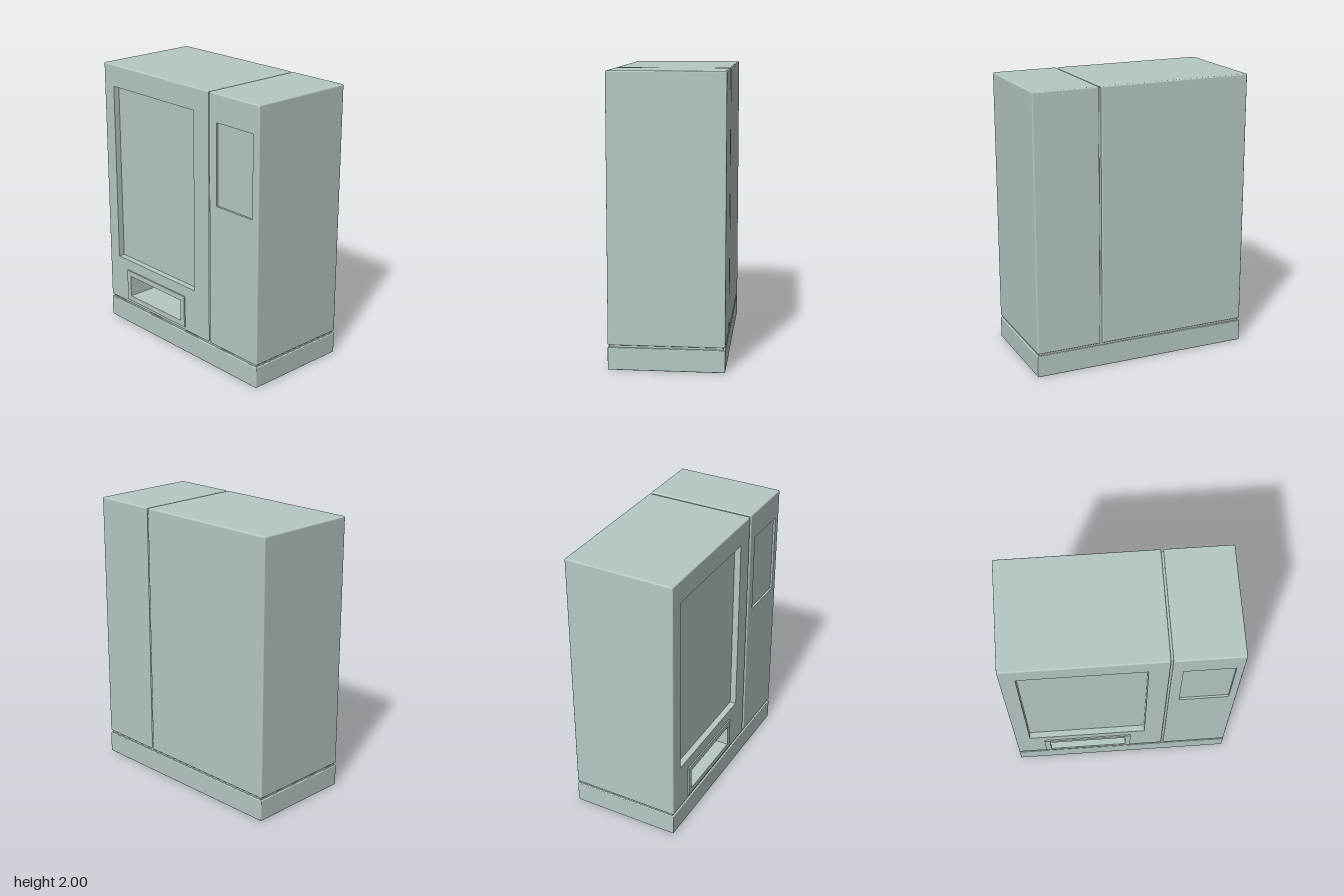
import * as THREE from 'three';
import { RoundedBoxGeometry } from 'three/addons/geometries/RoundedBoxGeometry.js';

const BACK = -0.4, FRONT = 0.39, R = 0.01;
const paint = new THREE.MeshStandardMaterial({ color: 0xb6c8c6 });
paint.name = 'pale grey green';

function add(parent, name, geometry) {
  const mesh = new THREE.Mesh(geometry, paint);
  mesh.name = name;
  parent.add(mesh);
  return mesh;
}

// Rectangles are given as [x0, x1, y0, y1]
function rectPath([x0, x1, y0, y1], Type = THREE.Path) {
  const p = new Type();
  p.moveTo(x0, y0).lineTo(x1, y0).lineTo(x1, y1).lineTo(x0, y1).closePath();
  return p;
}

// Box from two corners, optionally with softened edges
function box(x0, x1, y0, y1, z0, z1, r = 0) {
  const size = [x1 - x0, y1 - y0, z1 - z0];
  const g = r ? new RoundedBoxGeometry(...size, 3, r) : new THREE.BoxGeometry(...size);
  return g.translate((x0 + x1) / 2, (y0 + y1) / 2, (z0 + z1) / 2);
}

// Rounded outer skin, lofted from back to front
function shell([x0, x1, y0, y1]) {
  const centres = [[x1 - R, y1 - R], [x0 + R, y1 - R], [x0 + R, y0 + R], [x1 - R, y0 + R]];
  const n = 4, pos = [], nor = [], idx = [];
  for (let k = 0; k <= 2 * n + 1; k++) {
    const front = k > n;
    const a = ((front ? k - n - 1 : k - n) / n) * Math.PI / 2;
    const z = (front ? FRONT - R : BACK + R) + R * Math.sin(a);
    for (let c = 0; c < 4; c++) for (let s = 0; s <= n; s++) {
      const t = (c + s / n) * Math.PI / 2;
      const u = Math.cos(t) * Math.cos(a), v = Math.sin(t) * Math.cos(a);
      pos.push(centres[c][0] + R * u, centres[c][1] + R * v, z);
      nor.push(u, v, Math.sin(a));
    }
  }
  const m = 4 * (n + 1);
  for (let k = 0; k <= 2 * n; k++) for (let j = 0; j < m; j++) {
    const a = k * m + j, b = k * m + (j + 1) % m;
    idx.push(a, b, b + m, a, b + m, a + m);
  }
  const g = new THREE.BufferGeometry();
  g.setAttribute('position', new THREE.Float32BufferAttribute(pos, 3));
  g.setAttribute('normal', new THREE.Float32BufferAttribute(nor, 3));
  g.setIndex(idx);
  return g;
}

// Inward-facing walls and back of a recess
function recess([x0, x1, y0, y1], depth) {
  const p = [[x0, y0], [x1, y0], [x1, y1], [x0, y1]];
  const zb = FRONT - depth, v = [];
  const quad = (a, b, c, d) => v.push(...a, ...b, ...c, ...a, ...c, ...d);
  for (let i = 0; i < 4; i++) {
    const a = p[i], b = p[(i + 1) % 4];
    quad([...a, FRONT], [...b, FRONT], [...b, zb], [...a, zb]);
  }
  quad(...p.map(q => [...q, zb]));
  const g = new THREE.BufferGeometry();
  g.setAttribute('position', new THREE.Float32BufferAttribute(v, 3));
  g.computeVertexNormals();
  return g;
}

// Cabinet block with recesses cut into its front
function cabinet(name, rect, recesses) {
  const group = new THREE.Group();
  group.name = name;
  add(group, name + 'Shell', shell(rect));
  const inner = [rect[0] + R, rect[1] - R, rect[2] + R, rect[3] - R];
  const face = rectPath(inner, THREE.Shape);
  for (const r of recesses) {
    face.holes.push(rectPath(r.rect));
    add(group, r.name, recess(r.rect, r.depth));
  }
  add(group, name + 'Front', new THREE.ShapeGeometry(face).translate(0, 0, FRONT));
  const back = new THREE.PlaneGeometry(inner[1] - inner[0], inner[3] - inner[2]).rotateY(Math.PI);
  add(group, name + 'Back', back.translate((inner[0] + inner[1]) / 2, (inner[2] + inner[3]) / 2, BACK));
  return group;
}

export function createModel() {
  const model = new THREE.Group();
  model.name = 'vendingMachine';
  const slot = [-0.545, 0.025, 0.24, 0.4];

  // Main cabinet with display window and delivery slot
  model.add(cabinet('mainCabinet', [-0.797, 0.309, 0.17, 2], [
    { name: 'displayWindow', rect: [-0.69, 0.17, 0.52, 1.84], depth: 0.045 },
    { name: 'deliverySlot', rect: slot, depth: 0.4 },
  ]));

  // Control column with a shallow panel
  model.add(cabinet('controlColumn', [0.325, 0.796, 0.17, 2], [
    { name: 'controlPanel', rect: [0.397, 0.742, 1.22, 1.803], depth: 0.015 },
  ]));

  // Raised frame round the delivery slot
  const frame = rectPath([-0.585, 0.065, 0.2, 0.44], THREE.Shape);
  frame.holes.push(rectPath(slot));
  add(model, 'deliveryFrame',
    new THREE.ExtrudeGeometry(frame, { depth: 0.01, bevelEnabled: false }).translate(0, 0, FRONT));

  // Plinth, and the set-back fillers inside the seams
  add(model, 'plinth', box(-0.797, 0.796, 0, 0.155, BACK, FRONT, 0.006));
  add(model, 'plinthSeam', box(-0.785, 0.784, 0.14, 0.185, BACK + 0.012, FRONT - 0.012));
  add(model, 'columnSeam', box(0.295, 0.34, 0.16, 1.99, BACK + 0.012, FRONT - 0.012));
  return model;
}
